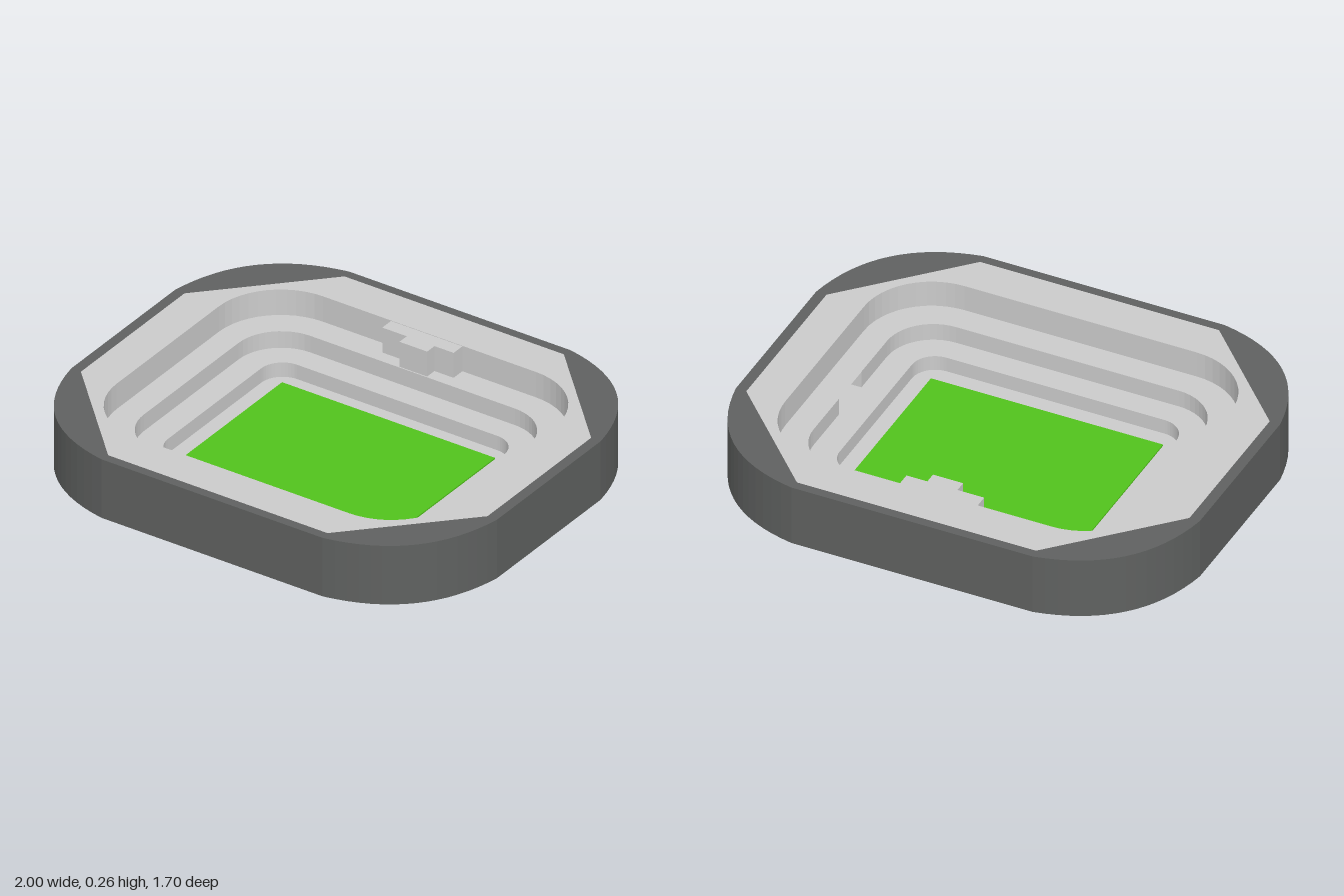
import * as THREE from 'three';

const H = 0.265;                 // rim height
const DOOR = 0.1;                // half width of the tunnel opening

const grey = new THREE.MeshStandardMaterial({ color: 0xcccccc, side: THREE.DoubleSide });
const dark = new THREE.MeshStandardMaterial({ color: 0x5f6160 });
const green = new THREE.MeshStandardMaterial({ color: 0x52c21c });

// Rounded-rectangle loop of [x, z]; two extra points mark the tunnel on the +x side
function ring(hx, hz, r) {
  const pts = [[hx, -DOOR], [hx, DOOR]];
  const corners = [[1, 1], [-1, 1], [-1, -1], [1, -1]];
  corners.forEach(([sx, sz], c) => {
    for (let i = 0; i <= 12; i++) {
      const a = (c + i / 12) * Math.PI / 2;
      pts.push([sx * (hx - r) + r * Math.cos(a), sz * (hz - r) + r * Math.sin(a)]);
    }
  });
  return pts;
}

// Band of quads joining two loops at two heights
function band(a, ya, b, yb, skipFirst = false) {
  const pos = [];
  for (let i = skipFirst ? 1 : 0; i < a.length; i++) {
    const j = (i + 1) % a.length;
    const p = [a[i][0], ya, a[i][1]], q = [a[j][0], ya, a[j][1]];
    const s = [b[i][0], yb, b[i][1]], t = [b[j][0], yb, b[j][1]];
    pos.push(...p, ...q, ...s, ...q, ...t, ...s);
  }
  const g = new THREE.BufferGeometry();
  g.setAttribute('position', new THREE.Float32BufferAttribute(pos, 3));
  g.computeVertexNormals();
  return g;
}

const toPath = (pts, Type) => new Type(pts.map(([x, z]) => new THREE.Vector2(x, z)));

export function createModel() {
  const model = new THREE.Group();
  const add = (name, geometry, material, parent = model) => {
    const mesh = new THREE.Mesh(geometry, material);
    mesh.name = name;
    parent.add(mesh);
    return mesh;
  };
  const box = (name, x0, x1, y0, y1, z0, z1, material, parent) => add(name,
    new THREE.BoxGeometry(x1 - x0, y1 - y0, z1 - z0)
      .translate((x0 + x1) / 2, (y0 + y1) / 2, (z0 + z1) / 2), material, parent);

  const octagon = [[0.955, -0.355], [0.955, 0.355], [0.515, 0.81], [-0.515, 0.81],
    [-0.955, 0.355], [-0.955, -0.355], [-0.515, -0.81], [0.515, -0.81]];

  // Outer wall: bowed corners outside, octagonal inside
  const outer = new THREE.Shape();
  outer.moveTo(1, -0.355);
  outer.lineTo(1, 0.355);
  outer.quadraticCurveTo(0.93, 0.775, 0.52, 0.85);
  outer.lineTo(-0.52, 0.85);
  outer.quadraticCurveTo(-0.93, 0.775, -1, 0.355);
  outer.lineTo(-1, -0.355);
  outer.quadraticCurveTo(-0.93, -0.775, -0.52, -0.85);
  outer.lineTo(0.52, -0.85);
  outer.quadraticCurveTo(0.93, -0.775, 1, -0.355);
  outer.holes.push(toPath(octagon, THREE.Path));
  add('outerWall', new THREE.ExtrudeGeometry(outer, { depth: H, bevelEnabled: false, curveSegments: 16 })
    .rotateX(Math.PI / 2).translate(0, H, 0), dark);

  // Upper deck
  const tiers = [
    { loop: ring(0.79, 0.64, 0.29), top: H, bottom: 0.15 },
    { loop: ring(0.68, 0.525, 0.2), top: 0.15, bottom: 0.075 },
    { loop: ring(0.57, 0.42, 0.1), top: 0.075, bottom: 0.01 },
  ];
  const deck = toPath(octagon, THREE.Shape);
  deck.holes.push(toPath(tiers[0].loop, THREE.Path));
  add('upperDeck', new THREE.ShapeGeometry(deck).rotateX(-Math.PI / 2).scale(1, 1, 1).translate(0, H, 0), grey);

  // Stepped bowl: risers and treads
  const bowl = new THREE.Group();
  bowl.name = 'bowl';
  model.add(bowl);
  tiers.forEach(({ loop, top, bottom }, i) => {
    add('riser' + (i + 1), band(loop, top, loop, bottom, i === 1), grey, bowl);
    if (i < 2) add('tread' + (i + 1), band(loop, bottom, tiers[i + 1].loop, bottom), grey, bowl);
  });
  add('bowlFloor', new THREE.ShapeGeometry(toPath(tiers[2].loop, THREE.Shape))
    .rotateX(-Math.PI / 2).translate(0, 0.01, 0), grey, bowl);

  // Tunnel recess behind the middle riser, open towards the pitch
  const tunnel = box('tunnel', 0.68, 0.77, 0.075, 0.149, -DOOR, DOOR, grey);
  const index = Array.from(tunnel.geometry.index.array);
  index.splice(6, 6);
  tunnel.geometry.setIndex(index);

  // Playing field
  box('pitch', -0.5, 0.5, 0.003, 0.016, -0.36, 0.345, green);

  // Control building on the rear terrace
  const building = new THREE.Group();
  building.name = 'controlBuilding';
  model.add(building);
  box('buildingWing', -0.18, 0.155, 0.15, H - 0.002, -0.64, -0.58, grey, building);
  box('buildingFront', -0.065, 0.065, 0.15, H - 0.002, -0.58, -0.53, grey, building);

  return model;
}
